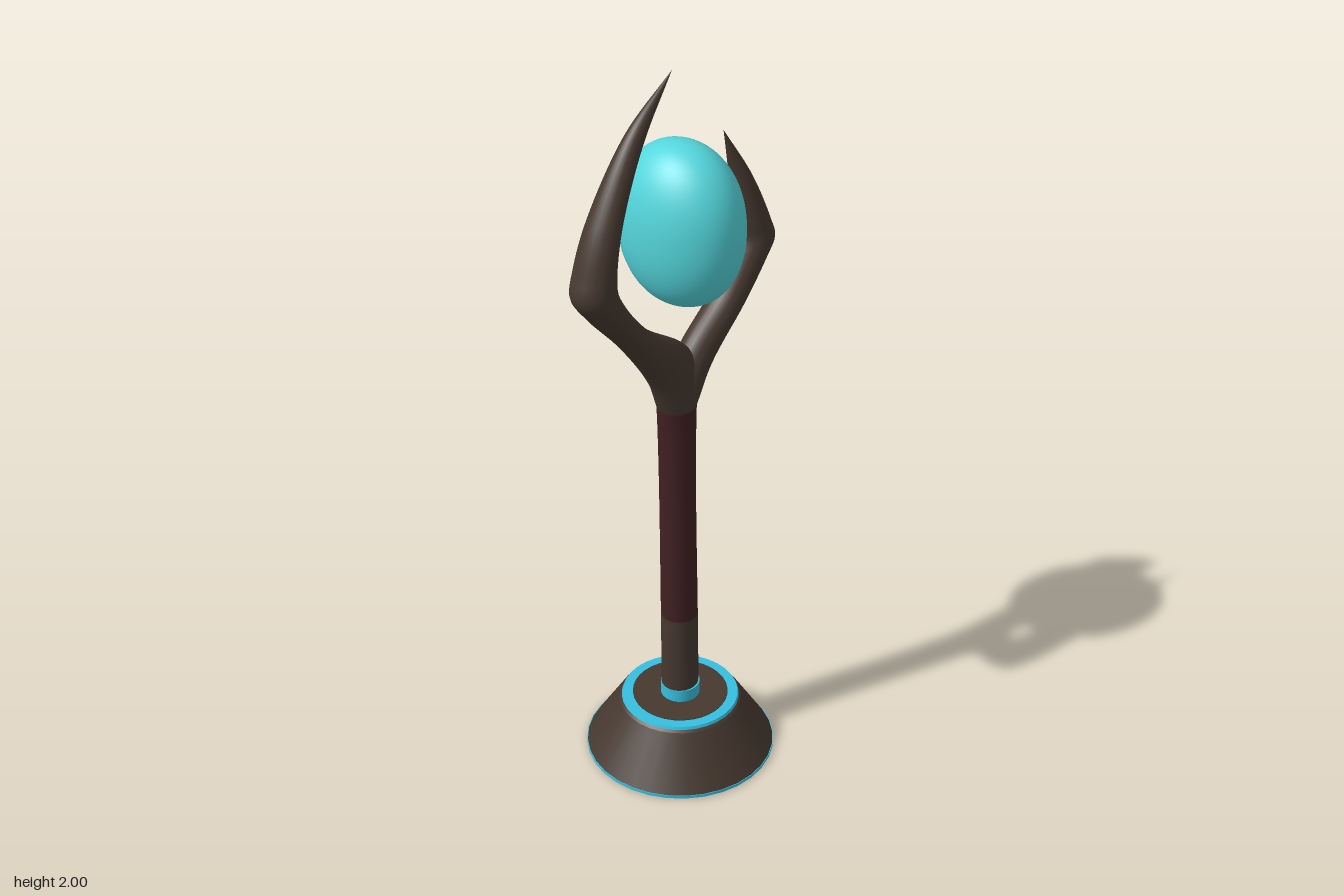
import * as THREE from 'three';

const wood = new THREE.MeshStandardMaterial({ color: 0x46382f });
wood.name = 'dark wood';
const leather = new THREE.MeshStandardMaterial({ color: 0x412022 });
leather.name = 'maroon leather';
const gem = new THREE.MeshStandardMaterial({ color: 0x54d6dc });
gem.name = 'turquoise gem';
const trim = new THREE.MeshStandardMaterial({ color: 0x36bfe0 });
trim.name = 'blue trim';

const AXIS_Z = -0.017; // centre of base and gem

// Oval cross-sections: [outer z, outer y, inner z, inner y, half width in x]
function loft(sections, side, steps, sides = 24) {
  const outer = new THREE.CatmullRomCurve3(sections.map(s => new THREE.Vector3(0, s[1], s[0])), false, 'centripetal');
  const inner = new THREE.CatmullRomCurve3(sections.map(s => new THREE.Vector3(s[4], s[3], s[2])), false, 'centripetal');
  const pos = [], index = [];
  for (let i = 0; i <= steps; i++) {
    const o = outer.getPoint(i / steps), n = inner.getPoint(i / steps);
    for (let j = 0; j < sides; j++) {
      const a = j / sides * Math.PI * 2, c = Math.cos(a) / 2;
      pos.push(side * Math.sin(a) * Math.max(n.x, 0),
        (o.y + n.y) / 2 + c * (o.y - n.y), (o.z + n.z) / 2 + c * (o.z - n.z));
      if (i < steps) {
        const k = (j + 1) % sides, p = i * sides, q = p + sides;
        index.push(p + j, p + k, q + k, p + j, q + k, q + j);
      }
    }
  }
  const g = new THREE.BufferGeometry();
  g.setAttribute('position', new THREE.Float32BufferAttribute(pos, 3));
  g.setIndex(index);
  g.computeVertexNormals();
  return g;
}

export function createModel() {
  const model = new THREE.Group();
  model.name = 'clawStaff';
  const add = (name, geometry, material, y = 0, z = 0) => {
    const mesh = new THREE.Mesh(geometry, material);
    mesh.name = name;
    mesh.position.set(0, y, z);
    model.add(mesh);
    return mesh;
  };
  const disc = (r0, r1, h) => new THREE.CylinderGeometry(r0, r1, h, 32);

  // Flared base with glowing rims
  add('baseRim', disc(0.252, 0.252, 0.008), trim, 0.006, AXIS_Z);
  add('baseUnderside', disc(0.249, 0.249, 0.004), wood, 0.002, AXIS_Z);
  add('baseCone', disc(0.163, 0.25, 0.14), wood, 0.08, AXIS_Z);
  add('baseShoulder', disc(0.154, 0.163, 0.008), wood, 0.154, AXIS_Z);
  add('baseRing', disc(0.154, 0.157, 0.008), trim, 0.16, AXIS_Z);
  add('baseTop', disc(0.127, 0.127, 0.004), wood, 0.164, AXIS_Z);
  add('collar', disc(0.052, 0.052, 0.036), trim, 0.184, AXIS_Z);

  // Slightly bowed shaft
  const ring = (y, z, r) => [z + r, y, z - r, y, Math.min(r, 0.048)];
  add('lowerShaft', loft([ring(0.17, -0.016, 0.05), ring(0.3, -0.015, 0.05), ring(0.43, -0.013, 0.049)], 1, 6), wood);
  add('grip', loft([ring(0.43, -0.013, 0.049), ring(0.8, -0.006, 0.047), ring(1, -0.003, 0.049), ring(1.08, -0.002, 0.053)], 1, 12), leather);

  // Tall front claw and short rear claw
  add('frontClaw', loft([
    [0.051, 1.08, -0.055, 1.08, 0.048],
    [0.092, 1.18, -0.045, 1.222, 0.046],
    [0.19, 1.325, 0.122, 1.362, 0.046],
    [0.305, 1.458, 0.212, 1.482, 0.053],
    [0.345, 1.52, 0.232, 1.53, 0.057],
    [0.332, 1.585, 0.234, 1.575, 0.055],
    [0.288, 1.7, 0.208, 1.69, 0.045],
    [0.167, 1.885, 0.125, 1.855, 0.024],
    [0.014, 2, 0.014, 2, 0],
  ], 1, 64), wood);
  add('rearClaw', loft([
    [-0.055, 1.08, 0.051, 1.08, 0.048],
    [-0.11, 1.165, -0.03, 1.222, 0.046],
    [-0.23, 1.285, -0.16, 1.335, 0.046],
    [-0.308, 1.385, -0.222, 1.425, 0.052],
    [-0.34, 1.44, -0.238, 1.46, 0.055],
    [-0.322, 1.495, -0.234, 1.505, 0.052],
    [-0.257, 1.635, -0.212, 1.635, 0.034],
    [-0.17, 1.777, -0.17, 1.777, 0],
  ], -1, 64), wood);

  // Egg-shaped gem, slightly fuller than an ellipsoid
  const full = v => Math.sign(v) * Math.pow(Math.abs(v), 0.93);
  const profile = [];
  for (let i = 0; i <= 32; i++) {
    const a = -Math.PI / 2 + i / 32 * Math.PI;
    profile.push(new THREE.Vector2(Math.max(0, full(Math.cos(a))), full(Math.sin(a))));
  }
  add('gem', new THREE.LatheGeometry(profile, 48), gem, 1.588, -0.019).scale.set(0.172, 0.213, 0.132);

  return model;
}
